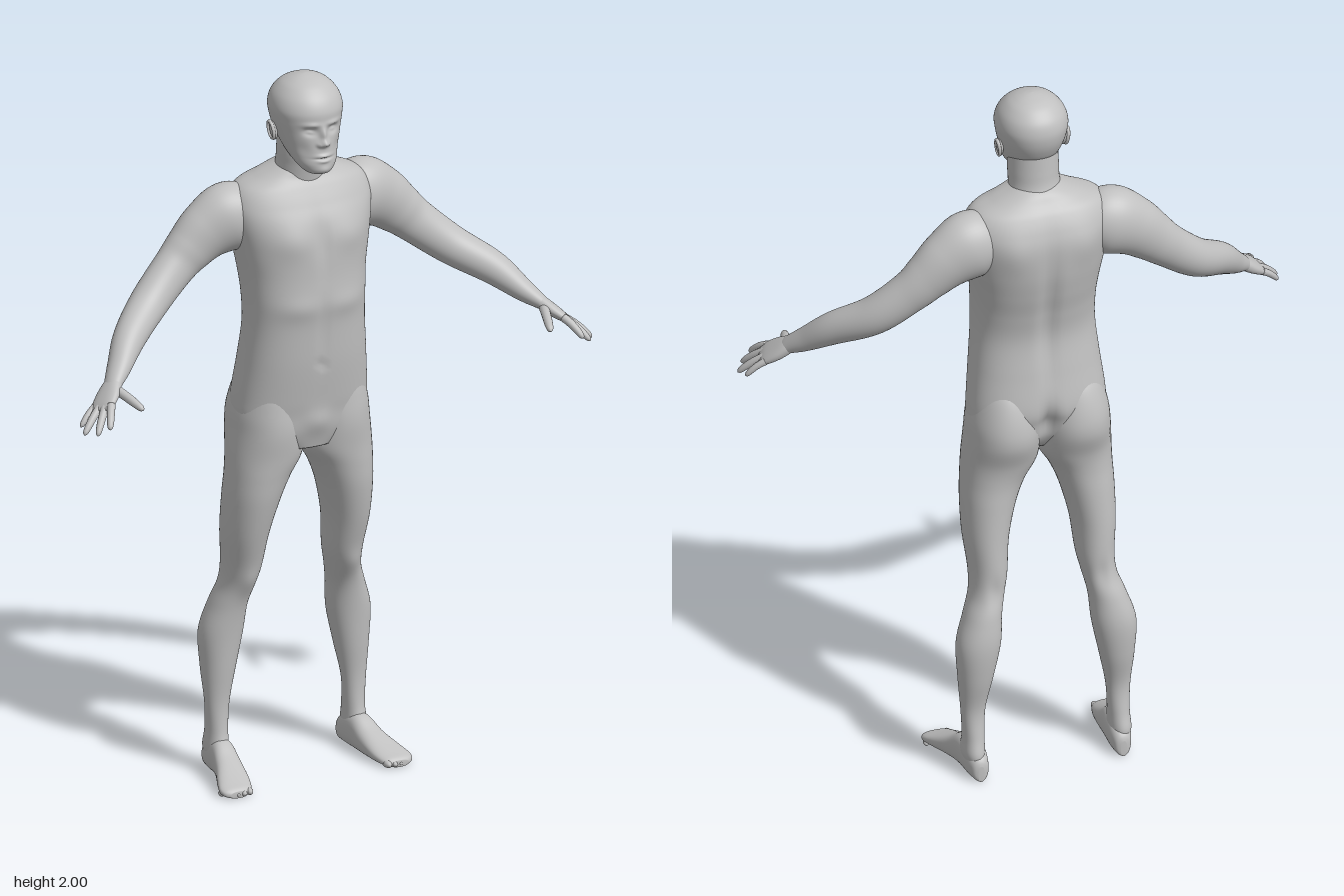
import * as THREE from 'three';

const skin = new THREE.MeshStandardMaterial({ color: 0xc0c0c0 });
skin.name = 'plain grey';
const X = new THREE.Vector3(1, 0, 0), Y = new THREE.Vector3(0, 1, 0), Z = new THREE.Vector3(0, 0, 1);

// Catmull-Rom blend of whole rows of numbers
function sampleRow(rows, t) {
  const last = rows.length - 1, i = Math.min(Math.floor(t * last), last - 1), u = t * last - i;
  const p0 = rows[Math.max(i - 1, 0)], p1 = rows[i], p2 = rows[i + 1], p3 = rows[Math.min(i + 2, last)];
  return p1.map((b, k) => b + 0.5 * u * (p2[k] - p0[k] + u * (2 * p0[k] - 5 * b + 4 * p2[k] - p3[k]
    + u * (3 * (b - p2[k]) + p3[k] - p0[k]))));
}

// Smooth closed skin over sections [x, y, z, depth radius, side radius].
// axis: fixed section normal (otherwise the path direction); n: superellipse power;
// bumps: [x, y, width, height, amount, +1 front / -1 back], mirrored in x.
function loft(rows, { side = X, axis = null, n = 2, seg = 32, steps = 40, bumps = [] } = {}) {
  const pos = [], index = [];
  const at = t => { const r = sampleRow(rows, THREE.MathUtils.clamp(t, 0, 1)); return { r, c: new THREE.Vector3(r[0], r[1], r[2]) }; };
  const power = v => Math.sign(v) * Math.abs(v) ** (2 / n);
  for (let i = 0; i <= steps; i++) {
    const { r, c } = at(i / steps);
    const t = axis ? axis.clone() : at((i + 0.5) / steps).c.sub(at((i - 0.5) / steps).c).normalize();
    const b = side.clone().addScaledVector(t, -side.dot(t)).normalize();
    const a = b.clone().cross(t);
    for (let j = 0; j < seg; j++) {
      const ang = j / seg * Math.PI * 2, cos = Math.cos(ang);
      const p = c.clone().addScaledVector(a, power(cos) * Math.max(r[3], 0.0005))
        .addScaledVector(b, power(Math.sin(ang)) * Math.max(r[4], 0.0005));
      let dz = 0;
      for (const [bx, by, sx, sy, amount, dir] of bumps) {
        const facing = Math.min(1, 2 * Math.max(0, cos * dir));
        dz += dir * amount * facing * Math.exp(-(((Math.abs(p.x) - bx) / sx) ** 2) - ((p.y - by) / sy) ** 2);
      }
      pos.push(p.x, p.y, p.z + dz);
    }
  }
  for (let i = 0; i < steps; i++) for (let j = 0; j < seg; j++) {
    const k = (j + 1) % seg, p = i * seg, q = p + seg;
    index.push(p + j, p + k, q + j, p + k, q + k, q + j);
  }
  const end = steps * seg;
  pos.push(...rows[0].slice(0, 3), ...rows[rows.length - 1].slice(0, 3));
  for (let j = 0; j < seg; j++) {
    const k = (j + 1) % seg;
    index.push(end + seg, k, j, end + seg + 1, end + j, end + k);
  }
  const geo = new THREE.BufferGeometry();
  geo.setAttribute('position', new THREE.Float32BufferAttribute(pos, 3));
  geo.setIndex(index);
  geo.computeVertexNormals();
  return geo;
}

// Horizontal section from [y, x0, x1, back z, front z]
const level = ([y, x0, x1, zb, zf]) => [(x0 + x1) / 2, y, (zb + zf) / 2, (zf - zb) / 2, (x1 - x0) / 2];
// Centred horizontal section from [y, half width, back z, front z]
const ring = ([y, w, zb, zf]) => level([y, -w, w, zb, zf]);

function mirrored(geo) {
  const g = geo.clone(), ix = g.index.array;
  g.scale(-1, 1, 1);
  for (let i = 0; i < ix.length; i += 3) [ix[i + 1], ix[i + 2]] = [ix[i + 2], ix[i + 1]];
  return g;
}

export function createModel() {
  const body = new THREE.Group();
  body.name = 'humanFigure';
  const add = (name, geo) => {
    const mesh = new THREE.Mesh(geo, skin);
    mesh.name = name;
    body.add(mesh);
  };
  const pair = (name, geo) => { add('left' + name, geo); add('right' + name, mirrored(geo)); };

  // Torso from crotch to neck base
  add('torso', loft([
    [0.95, 0.09, -0.12, 0.025], [1.0, 0.18, -0.165, 0.038], [1.05, 0.19, -0.182, 0.045],
    [1.1, 0.188, -0.19, 0.054], [1.2, 0.177, -0.175, 0.068], [1.3, 0.168, -0.162, 0.076],
    [1.38, 0.168, -0.172, 0.083], [1.45, 0.174, -0.188, 0.08], [1.52, 0.186, -0.2, 0.076],
    [1.6, 0.2, -0.203, 0.062], [1.65, 0.2, -0.192, 0.04], [1.69, 0.178, -0.172, 0.018],
    [1.715, 0.125, -0.15, 0.002], [1.735, 0.08, -0.133, -0.005], [1.75, 0.05, -0.11, -0.02],
  ].map(ring), {
    axis: Y, n: 2.35, seg: 96, steps: 110, bumps: [
      [0.085, 1.56, 0.06, 0.045, 0.01, 1], [0, 1.55, 0.014, 0.08, -0.006, 1],   // chest
      [0.07, 1.37, 0.06, 0.03, 0.005, 1], [0, 1.3, 0.012, 0.1, -0.004, 1],      // ribs, belly line
      [0, 1.2, 0.01, 0.01, -0.007, 1], [0, 1.03, 0.035, 0.035, 0.009, 1],       // navel, groin
      [0, 1.4, 0.022, 0.2, -0.014, -1], [0.1, 1.6, 0.045, 0.06, 0.007, -1],     // spine, shoulder blades
      [0, 1.04, 0.022, 0.06, -0.03, -1],
    ],
  }));

  add('neck', loft([
    [1.66, 0.085, -0.15, 0.0], [1.71, 0.073, -0.137, 0.008], [1.75, 0.069, -0.122, 0.014],
    [1.79, 0.069, -0.117, 0.02], [1.86, 0.066, -0.112, 0.02],
  ].map(ring), { axis: Y, seg: 48, bumps: [[0, 1.755, 0.012, 0.014, 0.005, 1]] }));

  // Head with the face modelled by soft bumps
  add('head', loft([
    [1.745, 0.012, 0.03, 0.06], [1.753, 0.036, 0.0, 0.078], [1.775, 0.055, -0.035, 0.083],
    [1.8, 0.067, -0.075, 0.08], [1.83, 0.078, -0.108, 0.077], [1.86, 0.087, -0.126, 0.074],
    [1.89, 0.094, -0.136, 0.074], [1.92, 0.097, -0.138, 0.073], [1.95, 0.088, -0.129, 0.06],
    [1.975, 0.068, -0.107, 0.036], [1.989, 0.046, -0.083, 0.012], [1.997, 0.023, -0.056, -0.014],
    [2.0, 0.003, -0.037, -0.033],
  ].map(ring), {
    axis: Y, n: 2.1, seg: 144, steps: 110, bumps: [
      [0, 1.862, 0.009, 0.02, 0.012, 1], [0, 1.838, 0.012, 0.01, 0.017, 1],       // nose
      [0.013, 1.834, 0.006, 0.006, 0.006, 1],
      [0.033, 1.871, 0.016, 0.011, -0.012, 1], [0.033, 1.869, 0.01, 0.005, 0.006, 1], // eyes
      [0.032, 1.89, 0.022, 0.007, 0.005, 1],                                      // brow
      [0, 1.802, 0.02, 0.005, 0.006, 1], [0, 1.788, 0.017, 0.005, 0.005, 1],      // lips
      [0, 1.795, 0.024, 0.0025, -0.005, 1], [0, 1.763, 0.018, 0.01, 0.004, 1],
      [0.05, 1.82, 0.015, 0.02, -0.004, 1],
    ],
  }));

  // Ears: a shallow bowl and a rim
  const place = (geo, s, x, y, z) => geo.scale(...s).rotateX(-0.15).rotateZ(-0.12).translate(x, y, z);
  pair('Ear', place(new THREE.SphereGeometry(1, 16, 12), [0.009, 0.026, 0.015], 0.09, 1.85, -0.04));
  pair('EarRim', place(new THREE.TorusGeometry(0.024, 0.005, 8, 24).rotateY(Math.PI / 2), [1, 1, 0.65], 0.096, 1.852, -0.042));

  // Legs
  pair('Leg', loft([
    [0.04, 0.178, 0.23, -0.195, -0.1], [0.07, 0.175, 0.236, -0.2, -0.1], [0.12, 0.175, 0.233, -0.188, -0.112],
    [0.2, 0.17, 0.237, -0.18, -0.115], [0.3, 0.15, 0.246, -0.2, -0.105], [0.4, 0.13, 0.25, -0.21, -0.095],
    [0.48, 0.124, 0.226, -0.2, -0.083], [0.54, 0.112, 0.205, -0.185, -0.065], [0.6, 0.1, 0.201, -0.18, -0.042],
    [0.7, 0.09, 0.21, -0.175, -0.01], [0.8, 0.065, 0.211, -0.17, 0.015], [0.87, 0.036, 0.208, -0.168, 0.026],
    [0.93, 0.002, 0.205, -0.177, 0.034], [1.0, 0.0, 0.198, -0.2, 0.042], [1.06, 0.006, 0.191, -0.198, 0.04],
    [1.13, 0.025, 0.17, -0.175, 0.03], [1.18, 0.05, 0.14, -0.14, 0.0],
  ].map(level), {
    axis: Y, n: 2.1, seg: 48, steps: 90, bumps: [
      [0.155, 0.56, 0.026, 0.035, 0.007, 1], [0.15, 0.56, 0.02, 0.04, -0.006, -1],
    ],
  }));

  // Feet from heel to toes: [z, x, half width, height]
  pair('Foot', loft([
    [-0.209, 0.2, 0.008, 0.045], [-0.2, 0.2, 0.022, 0.065], [-0.165, 0.202, 0.031, 0.09],
    [-0.11, 0.206, 0.034, 0.1], [-0.06, 0.214, 0.039, 0.073], [-0.01, 0.227, 0.046, 0.049],
    [0.025, 0.237, 0.047, 0.034], [0.045, 0.24, 0.04, 0.026], [0.055, 0.24, 0.025, 0.018],
  ].map(([z, x, w, h]) => [x, h / 2, z, h / 2, w]), { axis: Z, n: 2.4, seg: 40 }));
  for (let i = 0; i < 5; i++) {
    const r = 0.012 - i * 0.0012;
    pair('Toe' + (i + 1), new THREE.SphereGeometry(r, 14, 10).scale(0.9, 0.9, 1.8)
      .translate(0.207 + i * 0.0175, r * 0.9, 0.043 - 0.0025 * (i - 1) ** 2));
  }

  // Arms from inside the chest to the wrist
  pair('Arm', loft([
    [0.1, 1.61, -0.085, 0.05, 0.05], [0.15, 1.61, -0.09, 0.08, 0.072], [0.2, 1.602, -0.098, 0.096, 0.078],
    [0.26, 1.572, -0.102, 0.083, 0.066], [0.31, 1.532, -0.101, 0.07, 0.056], [0.36, 1.488, -0.094, 0.06, 0.05],
    [0.45, 1.415, -0.062, 0.053, 0.051], [0.54, 1.357, 0.002, 0.045, 0.044], [0.6, 1.303, 0.058, 0.031, 0.035],
    [0.634, 1.275, 0.09, 0.021, 0.028], [0.65, 1.262, 0.103, 0.015, 0.026],
  ], { side: Z, seg: 48, steps: 80 }));

  // Hands: palm, four spread fingers and a thumb
  const across = new THREE.Vector3(-0.39, 0.31, 0.85).normalize();
  pair('Palm', loft([
    [0.622, 1.285, 0.079, 0.014, 0.02], [0.64, 1.27, 0.094, 0.018, 0.029], [0.662, 1.252, 0.112, 0.017, 0.037],
    [0.685, 1.234, 0.13, 0.013, 0.038], [0.7, 1.222, 0.141, 0.007, 0.032],
  ], { side: across, n: 2.3, seg: 32, steps: 24 }));
  const digit = (name, from, to, r, lift) => {
    const rows = [0, 0.25, 0.5, 0.75, 0.93, 1].map((t, i) => {
      const p = from.clone().lerp(to, t);
      const w = r * [1.1, 1.05, 1, 0.9, 0.65, 0.08][i];
      return [p.x, p.y + lift * Math.sin(Math.PI * t), p.z, w, w];
    });
    pair(name, loft(rows, { side: across, seg: 14, steps: 18 }));
  };
  const tips = [[0.748, 1.18, 0.122], [0.757, 1.172, 0.16], [0.735, 1.178, 0.195], [0.706, 1.196, 0.211]];
  ['LittleFinger', 'RingFinger', 'MiddleFinger', 'IndexFinger'].forEach((name, i) => {
    const knuckle = new THREE.Vector3(0.686, 1.233, 0.131).addScaledVector(across, -0.029 + i * 0.0193);
    digit(name, knuckle, new THREE.Vector3(...tips[i]), i ? 0.0105 : 0.009, 0.005);
  });
  digit('Thumb', new THREE.Vector3(0.64, 1.266, 0.105), new THREE.Vector3(0.607, 1.235, 0.213), 0.0125, 0.002);

  return body;
}
